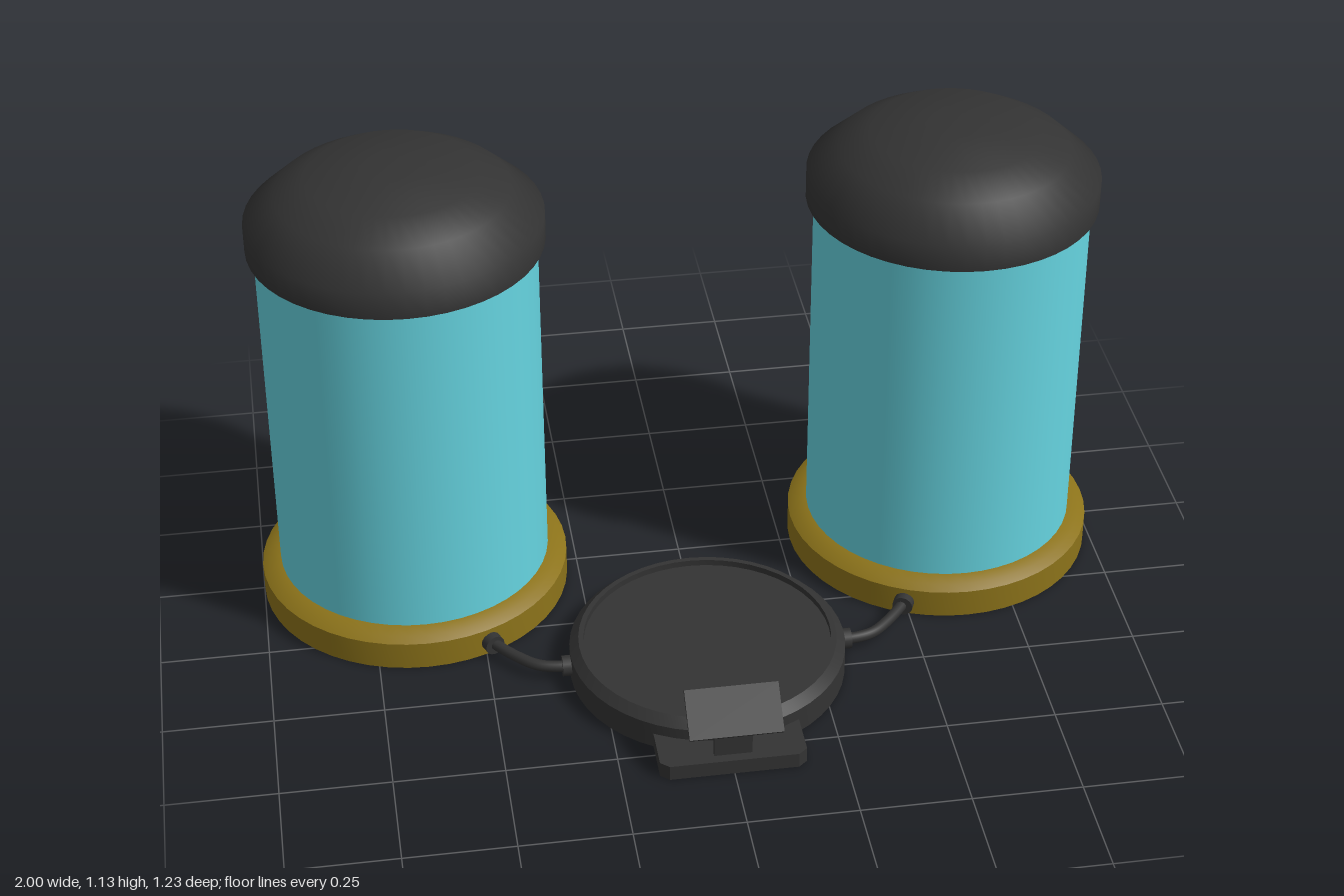
import * as THREE from 'three';
import { toCreasedNormals } from 'three/addons/utils/BufferGeometryUtils.js';

const dark = new THREE.MeshStandardMaterial({ color: 0x333333 });
const gold = new THREE.MeshStandardMaterial({ color: 0x8c731a });
const cyan = new THREE.MeshStandardMaterial({ color: 0x66d4e0 });

function add(parent, name, geometry, material, x = 0, y = 0, z = 0) {
  const mesh = new THREE.Mesh(geometry, material);
  mesh.name = name;
  mesh.position.set(x, y, z);
  parent.add(mesh);
  return mesh;
}

// Turned solid from [radius, height] pairs, listed bottom to top
function turned(points, crease = 0.6) {
  const profile = points.map(([r, y]) => new THREE.Vector2(r, y));
  return toCreasedNormals(new THREE.LatheGeometry(profile, 48), crease);
}

// Cylindrical fitting whose axis follows a direction
function addFitting(parent, name, position, direction) {
  const fitting = add(parent, name, new THREE.CylinderGeometry(0.024, 0.024, 0.03, 16), dark);
  fitting.position.copy(position);
  fitting.quaternion.setFromUnitVectors(new THREE.Vector3(0, 1, 0), direction.clone().normalize());
}

function createTank(side) {
  const tank = new THREE.Group();
  tank.name = side > 0 ? 'leftTank' : 'rightTank';
  tank.position.set(side * 0.637, 0, -0.252);
  add(tank, 'tankBase', turned([[0, 0], [0.362, 0], [0.362, 0.068], [0.345, 0.08], [0.318, 0.09], [0, 0.09]]), gold);
  add(tank, 'tankBody', new THREE.CylinderGeometry(0.318, 0.318, 0.86, 48, 1, true), cyan, 0, 0.515, 0);
  add(tank, 'tankCap', turned([[0, 0.937], [0.336, 0.937], [0.336, 1.002], [0.264, 1.068],
    [0.195, 1.108], [0.065, 1.126], [0, 1.126]], 0.9), dark);
  return tank;
}

function createHose(side) {
  const hose = new THREE.Group();
  hose.name = side > 0 ? 'leftHose' : 'rightHose';
  const point = (x, z) => new THREE.Vector3(side * x, 0.033, z);
  const path = new THREE.CatmullRomCurve3([point(0.3, 0.195), point(0.345, 0.195), point(0.39, 0.183),
    point(0.435, 0.145), point(0.485, 0.085), point(0.5, 0.06)]);
  add(hose, 'hoseTube', new THREE.TubeGeometry(path, 32, 0.013, 10), dark);
  addFitting(hose, 'padFitting', point(0.322, 0.195), new THREE.Vector3(1, 0, 0));
  addFitting(hose, 'tankFitting', point(0.487, 0.083), new THREE.Vector3(side * -0.41, 0, 0.91));
  return hose;
}

function createConsole() {
  const console = new THREE.Group();
  console.name = 'console';
  // Foot with clipped front corners, drawn in plan and raised
  const plan = new THREE.Shape([[-0.165, -0.4], [-0.165, -0.57], [-0.145, -0.587], [0.145, -0.587],
    [0.165, -0.57], [0.165, -0.4]].map(([x, y]) => new THREE.Vector2(x, y)));
  const foot = new THREE.ExtrudeGeometry(plan, { depth: 0.037, bevelEnabled: false });
  foot.rotateX(-Math.PI / 2);
  add(console, 'consoleFoot', foot, dark);
  add(console, 'consolePost', new THREE.BoxGeometry(0.086, 0.135, 0.01), dark, 0, 0.0975, 0.56);
  // Tilted panel, its lower edge towards the front
  const panel = add(console, 'consolePanel', new THREE.BoxGeometry(0.21, 0.01, 0.112), dark, 0, 0.162, 0.568);
  panel.rotation.x = Math.atan2(0.075, 0.085);
  return console;
}

export function createModel() {
  const model = new THREE.Group();
  model.name = 'twinTankStation';

  // Round pad with a raised, bevelled rim
  add(model, 'pad', turned([[0, 0], [0.318, 0], [0.318, 0.064], [0.297, 0.085], [0.285, 0.085],
    [0.285, 0.07], [0, 0.07]]), dark, 0, 0, 0.197);
  model.add(createConsole());

  for (const side of [-1, 1]) model.add(createTank(side), createHose(side));
  return model;
}
